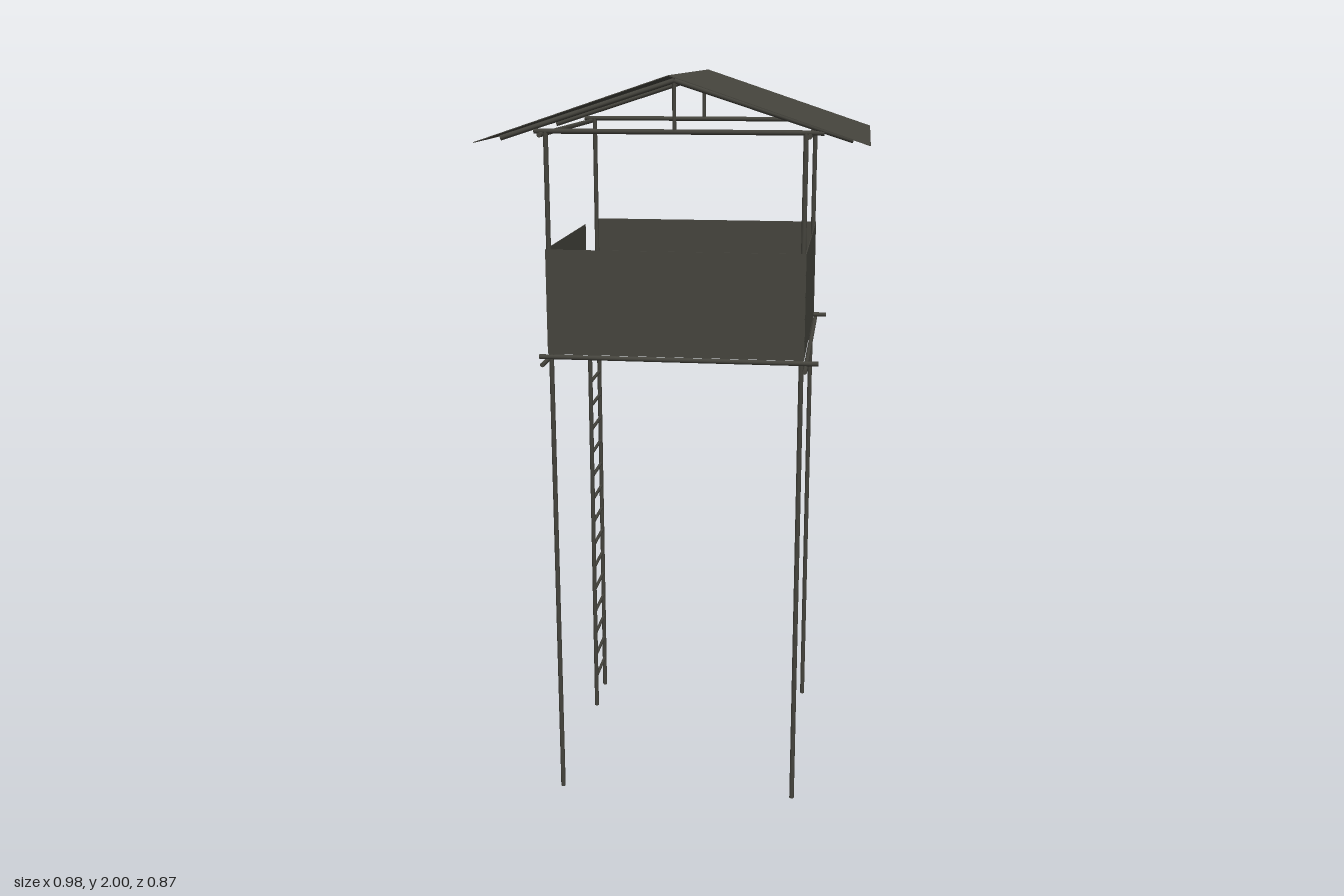
import * as THREE from 'three';

export function createModel() {
  const model = new THREE.Group();
  const wood = new THREE.MeshStandardMaterial({ color: 0x45443d, side: THREE.DoubleSide });
  wood.name = 'weathered wood';
  const P = 0.33;   // post offset from the centre
  const W = 0.337;  // wall offset from the centre

  const add = (name, geometry, parent = model) => {
    const mesh = new THREE.Mesh(geometry, wood);
    mesh.name = name;
    parent.add(mesh);
    return mesh;
  };

  // Slim round pole between two points
  const pole = (name, a, b, radius = 0.0065, parent = model) => {
    const from = new THREE.Vector3(...a), to = new THREE.Vector3(...b);
    const dir = to.clone().sub(from);
    const mesh = add(name, new THREE.CylinderGeometry(radius, radius, dir.length(), 8), parent);
    mesh.position.copy(from).add(to).multiplyScalar(0.5);
    mesh.quaternion.setFromUnitVectors(new THREE.Vector3(0, 1, 0), dir.normalize());
    return mesh;
  };

  // Thin upright or flat panel
  const panel = (name, size, position) =>
    add(name, new THREE.BoxGeometry(...size)).position.set(...position);

  // Corner posts
  for (const x of [-P, P]) for (const z of [-P, P]) {
    pole('cornerPost', [x, x > 0 ? 0.012 : 0.004, z], [x, 1.86, z]);
  }

  // Floor with its crossing beams
  panel('floor', [2 * W, 0.002, 2 * W], [0, 1.284, 0]);
  for (const s of [-1, 1]) {
    pole('floorCrossBeam', [-0.36, 1.277, s * (P + 0.012)], [0.375, 1.277, s * (P + 0.012)]);
    pole('floorSideBeam', [s * (P + 0.012), 1.265, -0.35], [s * (P + 0.012), 1.265, 0.39], 0.006);
  }

  // Railing walls, with an entrance gap above the ladder
  const wallHeight = 0.275, wallY = 1.4225, gapZ = -0.19;
  panel('frontWall', [2 * W, wallHeight, 0.002], [0, wallY, W]);
  panel('backWall', [2 * W, wallHeight, 0.002], [0, wallY, -W]);
  panel('leftWall', [0.002, wallHeight, 2 * W], [W, wallY, 0]);
  panel('rightWall', [0.002, wallHeight, W - gapZ], [-W, wallY, (W + gapZ) / 2]);

  // Ladder sharing the rear corner post
  const ladder = new THREE.Group();
  ladder.name = 'ladder';
  model.add(ladder);
  pole('ladderRail', [-P, 0, -0.185], [-P, 1.29, -0.185], 0.0065, ladder);
  for (let i = 0; i < 16; i++) {
    const y = 0.1 + i * 0.0755;
    pole('ladderRung', [-P, y, -0.185], [-P, y, -P], 0.005, ladder);
  }

  // Roof trusses at the front and back, joined by side beams
  for (const s of [-1, 1]) {
    const z = s * P;
    pole('tieBeam', [-0.36, 1.86, z], [0.375, 1.86, z]);
    pole('kingPost', [0, 1.86, z], [0, 1.985, z], 0.005);
    for (const side of [-1, 1]) pole('rafter', [0, 1.985, z], [side * 0.447, 1.842, z]);
    pole('roofSideBeam', [s * (P + 0.01), 1.852, -0.36], [s * (P + 0.01), 1.852, 0.36]);
  }

  // Pitched roof sheets
  const run = 0.489, rise = 0.162, length = Math.hypot(run, rise);
  for (const s of [-1, 1]) {
    const sheet = add('roofSheet', new THREE.BoxGeometry(length, 0.002, 0.87));
    sheet.position.set(s * run / 2, 1.999 - rise / 2, 0);
    sheet.rotation.z = -s * Math.atan2(rise, run);
  }
  return model;
}
